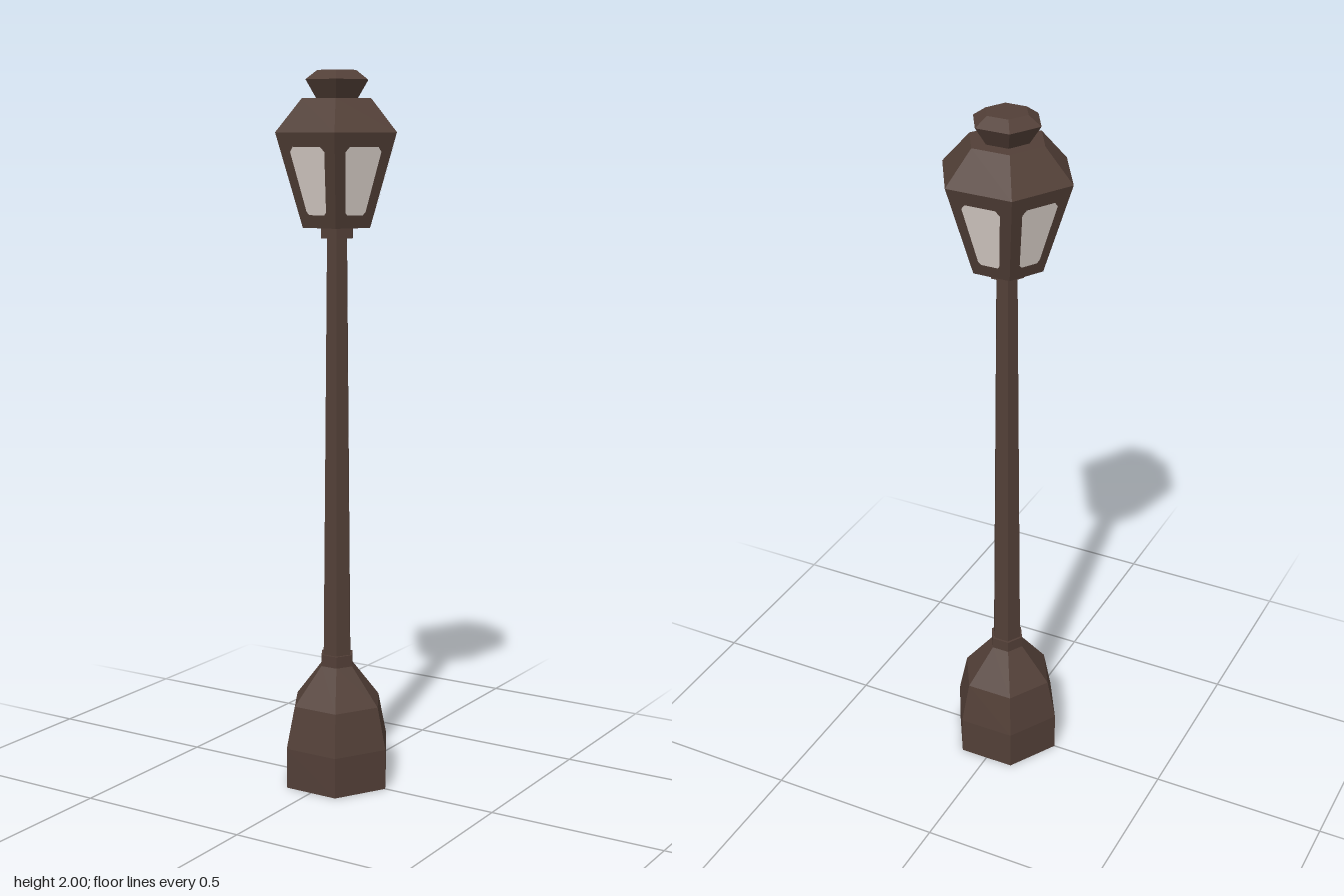
import * as THREE from 'three';

export function createModel() {
  const lamp = new THREE.Group();
  lamp.name = 'streetLamp';
  const iron = new THREE.MeshStandardMaterial({ color: 0x523f37, flatShading: true });
  iron.name = 'dark brown iron';
  const glass = new THREE.MeshStandardMaterial({ color: 0xe0d6cf, flatShading: true });
  glass.name = 'pale glass';

  // Six-sided closed solid from [corner radius, height] pairs, bottom to top
  function hexSolid(name, profile) {
    const rings = [[0, profile[0][1]], ...profile, [0, profile[profile.length - 1][1]]];
    const points = rings.map(([r, y]) => new THREE.Vector2(r, y));
    const mesh = new THREE.Mesh(new THREE.LatheGeometry(points, 6, Math.PI / 6), iron);
    mesh.name = name;
    lamp.add(mesh);
  }

  hexSolid('base', [[0.161, 0], [0.161, 0.115], [0.135, 0.235], [0.05, 0.342]]);
  hexSolid('lowerCollar', [[0.05, 0.34], [0.05, 0.375]]);
  hexSolid('pole', [[0.043, 0.37], [0.031, 1.555]]);
  hexSolid('upperCollar', [[0.05, 1.55], [0.05, 1.585]]);

  // Lantern body flares up to the eaves, then the roof slopes in
  const bottom = { r: 0.105, y: 1.58 }, eaves = { r: 0.187, y: 1.835 };
  hexSolid('lanternBody', [[bottom.r, bottom.y], [eaves.r, eaves.y]]);
  hexSolid('roof', [[eaves.r, eaves.y], [0.107, 1.925]]);
  hexSolid('cap', [[0.06, 1.92], [0.096, 1.975], [0.06, 2]]);

  // Tapered window pane with clipped corners, measured up the slanted side
  const pane = new THREE.Shape([
    [-0.024, 0.037], [0.024, 0.037], [0.031, 0.046], [0.054, 0.212],
    [0.043, 0.226], [-0.043, 0.226], [-0.054, 0.212], [-0.031, 0.046],
  ].map(([x, y]) => new THREE.Vector2(x, y)));
  const paneGeometry = new THREE.ShapeGeometry(pane);
  const flat = Math.cos(Math.PI / 6);
  const tilt = Math.atan2((eaves.r - bottom.r) * flat, eaves.y - bottom.y);
  paneGeometry.translate(0, 0, 0.002);
  paneGeometry.rotateX(tilt);
  paneGeometry.translate(0, bottom.y, bottom.r * flat);

  for (let i = 0; i < 6; i++) {
    const mesh = new THREE.Mesh(paneGeometry, glass);
    mesh.name = 'windowPane' + (i + 1);
    mesh.rotation.y = (i * Math.PI) / 3;
    lamp.add(mesh);
  }
  return lamp;
}
